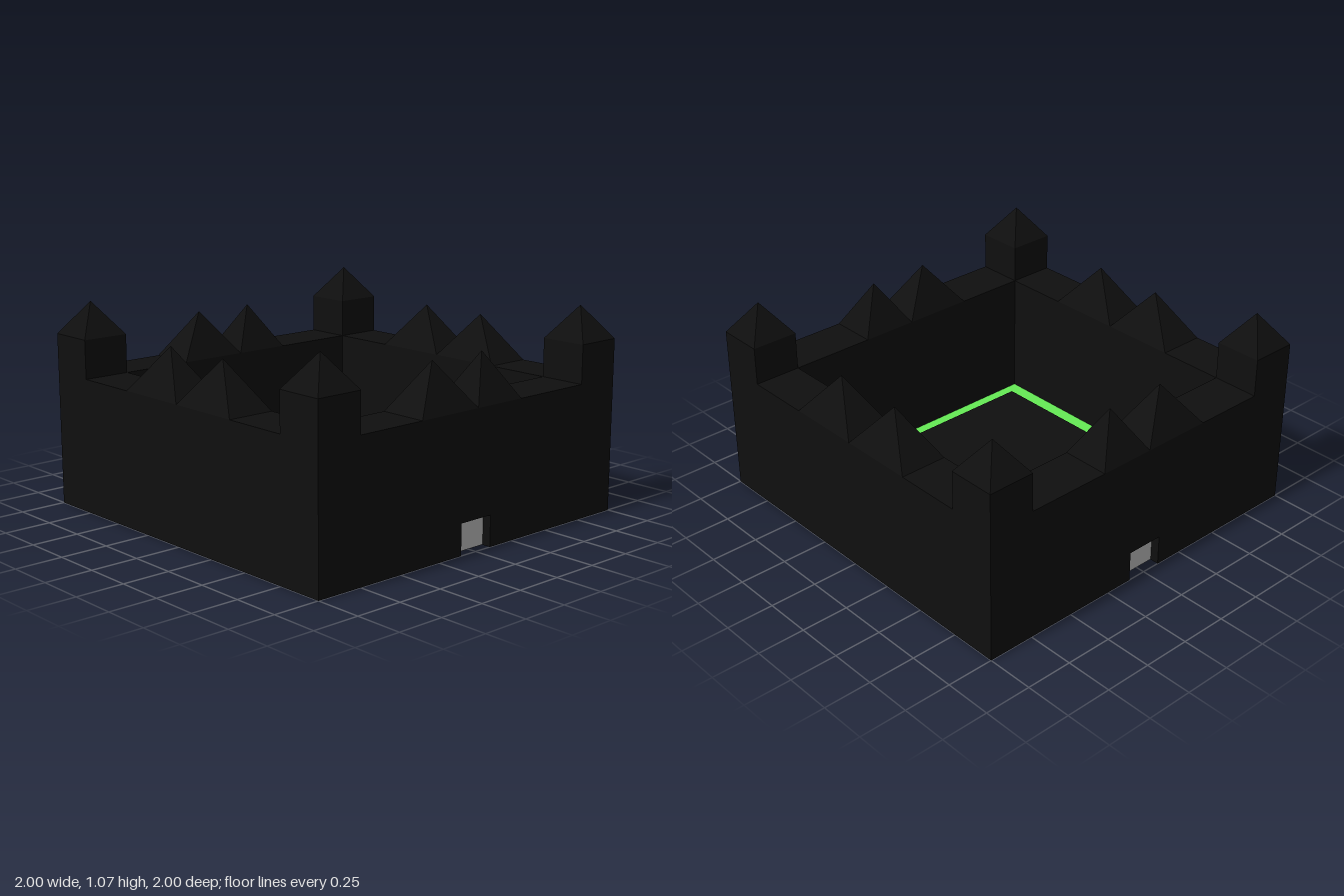
import * as THREE from 'three';

const stone = new THREE.MeshStandardMaterial({ color: 0x0f0f0f, flatShading: true });
const grass = new THREE.MeshStandardMaterial({ color: 0x66ec56 });
const door = new THREE.MeshStandardMaterial({ color: 0xcccccc });

// Box given by its extents on each axis
function box(name, [x0, x1], [y0, y1], [z0, z1], material = stone) {
  const mesh = new THREE.Mesh(new THREE.BoxGeometry(x1 - x0, y1 - y0, z1 - z0), material);
  mesh.position.set((x0 + x1) / 2, (y0 + y1) / 2, (z0 + z1) / 2);
  mesh.name = name;
  return mesh;
}

// Four-sided pyramid with a w x d base at height y
function pyramid(name, w, h, d, x, y, z) {
  const geometry = new THREE.ConeGeometry(Math.SQRT1_2, h, 4, 1);
  geometry.rotateY(Math.PI / 4).scale(w, 1, d).translate(0, h / 2, 0);
  const mesh = new THREE.Mesh(geometry, stone);
  mesh.position.set(x, y, z);
  mesh.name = name;
  return mesh;
}

// Side wall along z at +x, with a shallow gate recess on its outer face
function gateWall() {
  const wall = new THREE.Group();
  const gateHalf = 0.1, gateTop = 0.16, recess = 0.95;
  wall.add(
    box('wallCore', [0.75, recess], [0, 0.7], [-0.75, 0.75]),
    box('wallFacing', [recess, 1], [0, 0.7], [-0.75, -gateHalf]),
    box('wallFacing', [recess, 1], [0, 0.7], [gateHalf, 0.75]),
    box('gateLintel', [recess, 1], [gateTop, 0.7], [-gateHalf, gateHalf]),
    box('gate', [recess - 0.01, recess + 0.003], [0.002, gateTop], [-gateHalf, gateHalf], door)
  );
  return wall;
}

export function createModel() {
  const castle = new THREE.Group();
  castle.name = 'castle';

  // Ground slab, lawn and low central block
  castle.add(
    box('base', [-0.76, 0.76], [0, 0.02], [-0.76, 0.76]),
    box('lawn', [-0.75, 0.75], [0.02, 0.03], [-0.75, 0.75], grass),
    box('keep', [-0.5, 0.5], [0.03, 0.185], [-0.5, 0.5])
  );

  for (const s of [-1, 1]) {
    // Front and back walls with their pointed battlements
    const wall = box('wall', [-0.75, 0.75], [0, 0.7], [-0.125, 0.125]);
    wall.position.z = s * 0.875;
    castle.add(wall);
    for (const x of [-0.2, 0.2]) {
      castle.add(pyramid('battlement', 0.4, 0.235, 0.25, x, 0.7, s * 0.875));
    }

    // Gate walls with uneven battlements
    const side = gateWall();
    side.name = s > 0 ? 'leftGateWall' : 'rightGateWall';
    if (s < 0) side.rotation.y = Math.PI;
    castle.add(side);
    castle.add(
      pyramid('battlement', 0.25, 0.235, 0.37, s * 0.875, 0.7, 0.185),
      pyramid('battlement', 0.25, 0.235, 0.3, s * 0.875, 0.7, -0.15)
    );

    // Corner towers with pyramid roofs
    for (const t of [-1, 1]) {
      const tower = box('tower', [-0.125, 0.125], [0, 0.9], [-0.125, 0.125]);
      tower.position.x = s * 0.875;
      tower.position.z = t * 0.875;
      castle.add(tower, pyramid('towerRoof', 0.25, 0.17, 0.25, s * 0.875, 0.9, t * 0.875));
    }
  }
  return castle;
}
